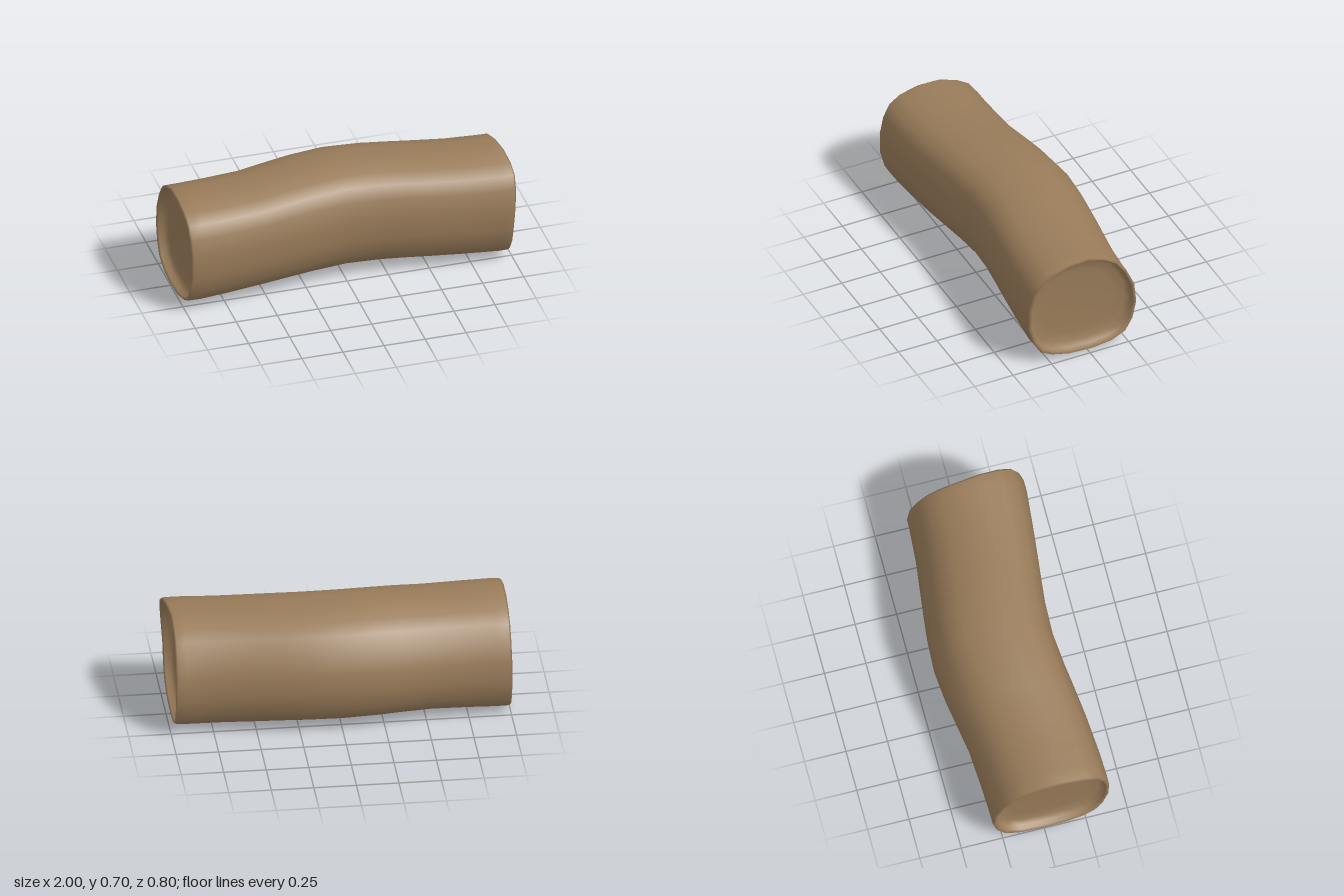
import * as THREE from 'three';

// Irregular cross-section (z, y), counter-clockwise seen from +x
const SECTION = [
  [0.26, 0.64], [0.335, 0.595], [0.375, 0.52], [0.4, 0.41], [0.397, 0.27], [0.365, 0.16],
  [0.315, 0.08], [0.24, 0.04], [0.13, 0.012], [-0.02, 0.004], [-0.15, 0.019], [-0.24, 0.062],
  [-0.285, 0.138], [-0.31, 0.25], [-0.298, 0.38], [-0.248, 0.492], [-0.188, 0.575], [-0.11, 0.625],
  [0.004, 0.664], [0.14, 0.667],
].map(([z, y]) => [(z - 0.045) / 0.355, (y - 0.3355) / 0.3315]);

// Bounds of the bark along its length: x, zMin, zMax, yMin, yMax
const STATIONS = [
  [-0.91, -0.308, 0.398, 0, 0.665],
  [-0.75, -0.315, 0.39, 0.009, 0.665], [-0.53, -0.33, 0.372, 0.021, 0.667],
  [-0.35, -0.36, 0.35, 0.026, 0.681], [-0.2, -0.385, 0.33, 0.028, 0.69],
  [0, -0.404, 0.311, 0.03, 0.696], [0.2, -0.394, 0.317, 0.027, 0.691],
  [0.35, -0.377, 0.333, 0.023, 0.684], [0.5, -0.358, 0.35, 0.017, 0.676],
  [0.7, -0.333, 0.371, 0.01, 0.667], [0.91, -0.318, 0.39, 0.003, 0.666],
];

// Rounded rim and shallow dished floor: distance outward from the end, scale, share of unevenness
const END = [
  [-0.012, 0.997, 1], [0, 0.97, 1], [-0.012, 0.938, 1], [-0.04, 0.932, 0.6],
  [-0.062, 0.85, 0], [-0.07, 0.65, 0], [-0.07, 0, 0],
];

// Uneven cut of each end
const cutLeft = (u, v) => 0.015 * Math.max(0, u - Math.abs(v) * 0.5);
const cutRight = (u, v) => 0.036 * Math.max(0, u + v - 0.95) - 0.008 * Math.max(0, v - u - 0.8);

function ring(x, box, scale, cut, share) {
  const [, z0, z1, y0, y1] = box;
  return SECTION.map(([u, v]) => [
    x + cut(u, v) * share,
    (y0 + y1) / 2 + (v * scale * (y1 - y0)) / 2,
    (z0 + z1) / 2 + (u * scale * (z1 - z0)) / 2,
  ]);
}

function loft(rings) {
  const n = SECTION.length;
  const index = [];
  for (let i = 0; i < rings.length - 1; i++) {
    for (let j = 0; j < n; j++) {
      const a = i * n + j, b = i * n + ((j + 1) % n);
      index.push(a, b, a + n, b, b + n, a + n);
    }
  }
  const geometry = new THREE.BufferGeometry();
  geometry.setAttribute('position', new THREE.Float32BufferAttribute(rings.flat(2), 3));
  geometry.setIndex(index);
  geometry.computeVertexNormals();
  return geometry;
}

export function createModel() {
  const group = new THREE.Group();
  group.name = 'log';
  const wood = new THREE.MeshStandardMaterial({ color: 0x997c5a });
  wood.name = 'brown wood';

  const first = STATIONS[0], last = STATIONS[STATIONS.length - 1];
  const rings = [
    // left hollow end, from the floor centre outward
    ...[...END].reverse().map(([d, s, k]) => ring(-1 - d, first, s, cutLeft, k)),
    // bark
    ...STATIONS.map((s) => ring(s[0], s, 1, cutLeft, 0)),
    // right hollow end, from the rim to the floor centre
    ...END.map(([d, s, k]) => ring(0.977 + d, last, s, cutRight, k)),
  ];
  const trunk = new THREE.Mesh(loft(rings), wood);
  trunk.name = 'trunk';
  group.add(trunk);
  return group;
}
